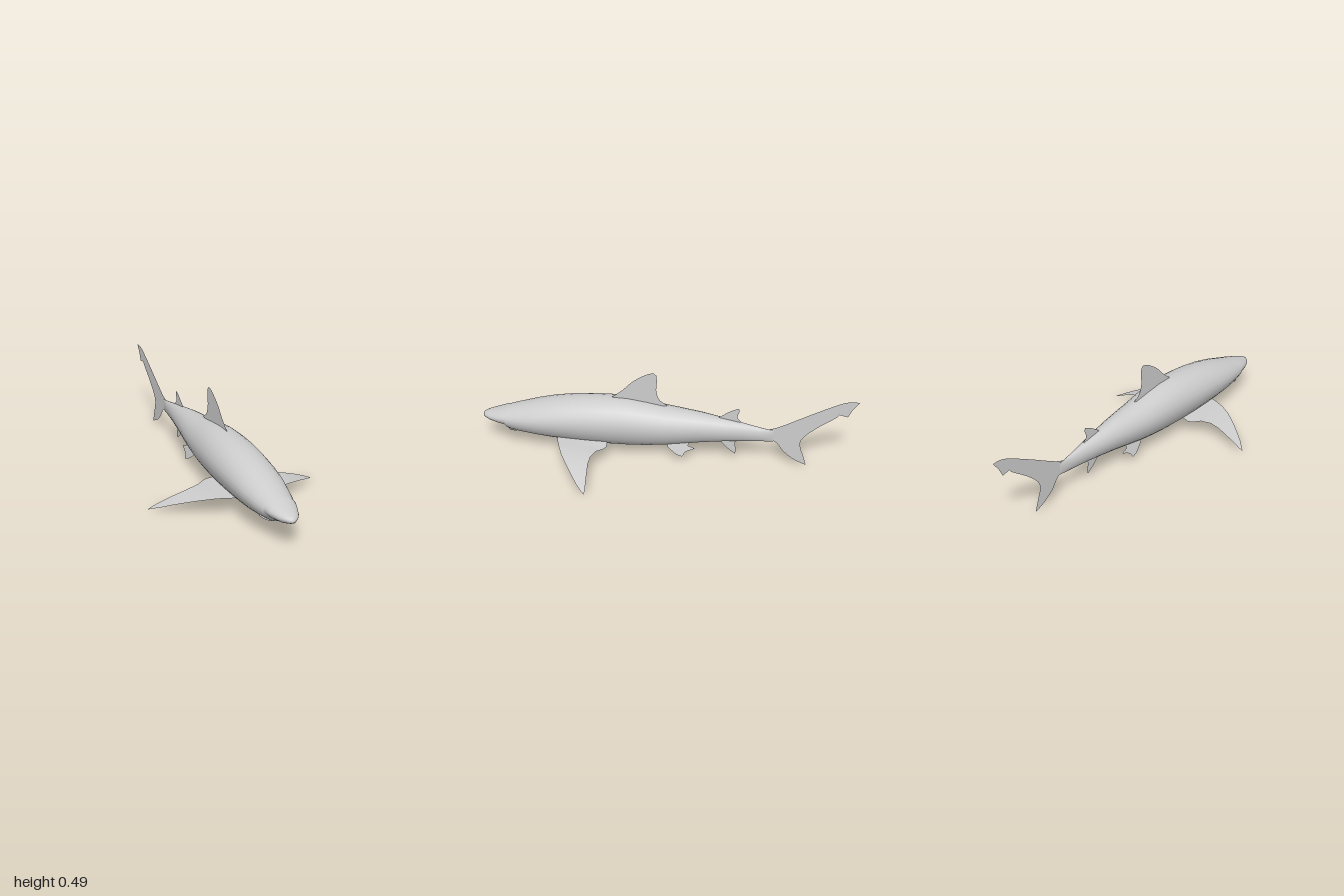
import * as THREE from 'three';

const skin = new THREE.MeshStandardMaterial({ color: 0xcccccc, side: THREE.DoubleSide });
skin.name = 'grey skin';

// Body stations: z, half width, top y, bottom y
const STATIONS = [
  [1, 0.001, 0.16, 0.155], [0.995, 0.018, 0.172, 0.147], [0.98, 0.033, 0.18, 0.14],
  [0.95, 0.052, 0.19, 0.13], [0.9, 0.072, 0.205, 0.121], [0.868, 0.08, 0.216, 0.116],
  [0.856, 0.083, 0.219, 0.097], [0.8, 0.096, 0.237, 0.084], [0.7, 0.115, 0.267, 0.072],
  [0.6, 0.124, 0.292, 0.063], [0.5, 0.128, 0.309, 0.057], [0.4, 0.13, 0.32, 0.053],
  [0.3, 0.127, 0.325, 0.051], [0.2, 0.121, 0.323, 0.052], [0.1, 0.112, 0.31, 0.057],
  [0, 0.1, 0.293, 0.068], [-0.1, 0.086, 0.281, 0.083], [-0.2, 0.07, 0.268, 0.099],
  [-0.3, 0.053, 0.25, 0.111], [-0.4, 0.035, 0.232, 0.12], [-0.5, 0.018, 0.211, 0.127],
  [-0.55, 0.008, 0.203, 0.13], [-0.575, 0.001, 0.2, 0.132],
];

// Surface from equal rows of points, optionally closed around each row
function loft(rows, closed) {
  const n = rows[0].length, index = [];
  for (let i = 0; i < rows.length - 1; i++) {
    for (let j = 0; j < (closed ? n : n - 1); j++) {
      const a = i * n + j, c = i * n + (j + 1) % n;
      index.push(a, a + n, c, a + n, c + n, c);
    }
  }
  const geo = new THREE.BufferGeometry();
  geo.setAttribute('position', new THREE.Float32BufferAttribute(rows.flat(2), 3));
  geo.setIndex(index);
  geo.computeVertexNormals();
  return geo;
}

function bodyGeometry() {
  const sides = 24;
  return loft(STATIONS.map(([z, w, top, bottom]) => {
    const mid = bottom + 0.53 * (top - bottom);
    return Array.from({ length: sides }, (_, j) => {
      const a = (j / sides) * Math.PI * 2, s = Math.sin(a);
      const taper = s < 0 ? 1 + 0.1 * s : 1;
      return [w * taper * Math.cos(a), mid + s * (s > 0 ? top - mid : mid - bottom), z];
    });
  }), true);
}

// Thin upright fin; each run of [z, y] points is a smooth edge, with corners between runs
function finGeometry(runs) {
  const shape = new THREE.Shape();
  shape.moveTo(...runs[0][0]);
  runs.forEach((run, i) => {
    if (i) shape.lineTo(...run[0]);
    shape.splineThru(run.slice(1).map(p => new THREE.Vector2(...p)));
  });
  return new THREE.ShapeGeometry(shape, 6).rotateY(-Math.PI / 2);
}

const FINS = {
  dorsalFin: [
    [[0.29, 0.322], [0.23, 0.37], [0.17, 0.43], [0.1, 0.476], [0.06, 0.487]],
    [[0.047, 0.475], [0.044, 0.44], [0.047, 0.38], [0.03, 0.33], [-0.008, 0.304]],
    [[-0.008, 0.298], [0.08, 0.288]], [[0.15, 0.28], [0.28, 0.28]],
  ],
  secondDorsalFin: [
    [[-0.28, 0.25], [-0.342, 0.294], [-0.388, 0.316]],
    [[-0.392, 0.3], [-0.382, 0.26], [-0.402, 0.238]], [[-0.39, 0.22], [-0.28, 0.22]],
  ],
  analFin: [
    [[-0.29, 0.114], [-0.337, 0.064], [-0.376, 0.036]],
    [[-0.382, 0.06], [-0.374, 0.104], [-0.402, 0.124]], [[-0.39, 0.14], [-0.29, 0.14]],
  ],
  tailFin: [
    [[-0.54, 0.202], [-0.604, 0.225], [-0.765, 0.316], [-0.898, 0.387], [-0.957, 0.407], [-1, 0.406]],
    [[-0.993, 0.395], [-0.97, 0.364], [-0.947, 0.316]],
    [[-0.904, 0.326], [-0.893, 0.31]],
    [[-0.86, 0.284], [-0.79, 0.23], [-0.727, 0.166], [-0.717, 0.118], [-0.738, 0.053], [-0.754, 0.001]],
    [[-0.735, 0.008], [-0.684, 0.032], [-0.631, 0.075], [-0.588, 0.128], [-0.54, 0.14]],
  ],
};

const PELVIC = [
  [[-0.02, 0.078], [-0.064, 0.044], [-0.1, 0.032]],
  [[-0.108, 0.042], [-0.118, 0.058], [-0.168, 0.08]], [[-0.13, 0.092], [-0.12, 0.115], [-0.02, 0.1]],
];

// Pectoral fin stations: x, leading z, trailing z
const PECTORAL = [
  [0.07, 0.575, 0.3], [0.127, 0.56, 0.296], [0.15, 0.55, 0.31], [0.18, 0.54, 0.34],
  [0.233, 0.515, 0.36], [0.28, 0.487, 0.363], [0.328, 0.455, 0.358], [0.37, 0.425, 0.354],
  [0.407, 0.397, 0.35], [0.44, 0.366, 0.347], [0.455, 0.352, 0.35],
];

function pectoralGeometry(side) {
  return loft(PECTORAL.map(([x, lead, trail]) => {
    const y = 0.1 - 0.088 * Math.pow(Math.max(0, (x - 0.16) / 0.295), 1.6);
    const dip = 0.012 * Math.max(0, 1 - Math.abs(x - 0.14) / 0.07);
    return [0, 0.35, 0.7, 1].map(t =>
      [side * x, y - dip * t * t, lead + (trail - lead) * t]);
  }), false);
}

export function createModel() {
  const model = new THREE.Group();
  model.name = 'shark';
  const add = (name, geo) => {
    const mesh = new THREE.Mesh(geo, skin);
    mesh.name = name;
    model.add(mesh);
    return mesh;
  };

  add('body', bodyGeometry());
  for (const [name, runs] of Object.entries(FINS)) add(name, finGeometry(runs));

  // Paired fins
  for (const [side, label] of [[1, 'left'], [-1, 'right']]) {
    add(label + 'PectoralFin', pectoralGeometry(side));
    const geo = finGeometry(PELVIC), p = geo.attributes.position;
    for (let i = 0; i < p.count; i++) p.setX(i, side * (0.05 + (0.09 - p.getY(i)) * 0.32));
    geo.computeVertexNormals();
    add(label + 'PelvicFin', geo);
  }

  // Lip along the mouth under the snout
  const lip = new THREE.CatmullRomCurve3([
    [-0.072, 0.115, 0.8], [-0.05, 0.106, 0.84], [0, 0.102, 0.858], [0.05, 0.106, 0.84], [0.072, 0.115, 0.8],
  ].map(p => new THREE.Vector3(...p)));
  add('lowerLip', new THREE.TubeGeometry(lip, 24, 0.005, 6));

  return model;
}
